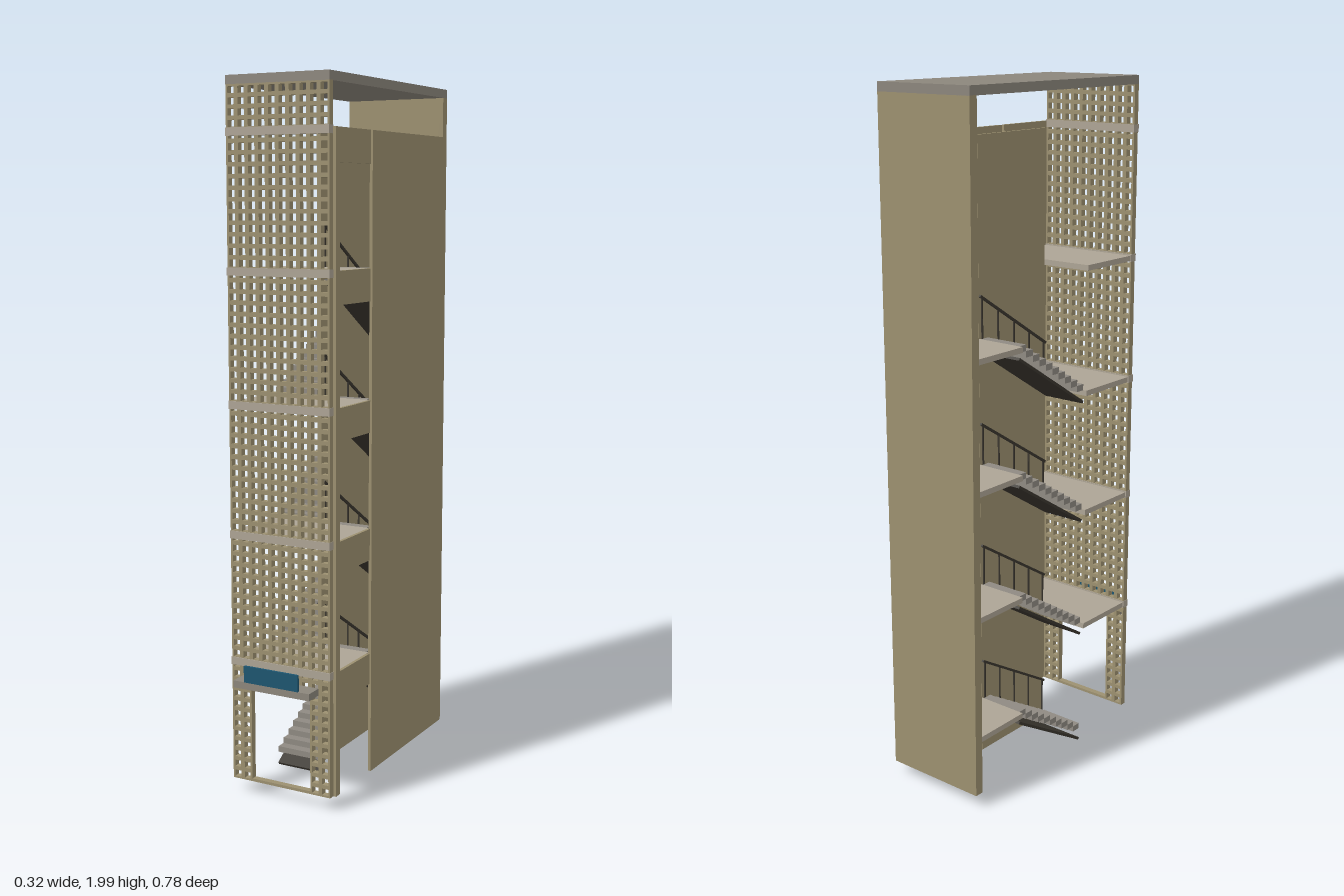
import * as THREE from 'three';

const mat = (color) => new THREE.MeshStandardMaterial({ color });

export function createModel() {
  const tower = new THREE.Group();
  tower.name = 'stairTower';
  const wall = mat(0x9c9070), concrete = mat(0x8c867c), pale = mat(0xada495);
  const step = mat(0x8f8a82), dark = mat(0x3a362f), blue = mat(0x1d5570);

  // Box given by its minimum and maximum on each axis
  const box = (name, m, x0, x1, y0, y1, z0, z1, parent = tower) => {
    const mesh = new THREE.Mesh(new THREE.BoxGeometry(x1 - x0, y1 - y0, z1 - z0), m);
    mesh.position.set((x0 + x1) / 2, (y0 + y1) / 2, (z0 + z1) / 2);
    mesh.name = name;
    parent.add(mesh);
    return mesh;
  };
  // Thin bar sloping in z and y between two points, (za, ya) and (zb, yb)
  const slopedBar = (name, m, x0, x1, za, ya, zb, yb, t, parent) => {
    const len = Math.hypot(zb - za, yb - ya);
    const bar = box(name, m, x0, x1, 0, t, 0, len, parent);
    bar.position.set((x0 + x1) / 2, (ya + yb) / 2, (za + zb) / 2);
    bar.rotation.x = -Math.atan2(yb - ya, zb - za);
    return bar;
  };

  const GROUND = 0.045, STOREY = 0.3625, TOP = 1.86;
  const floors = [1, 2, 3, 4].map((i) => 0.4 + (i - 1) * 0.3635);
  const FRONT = 0.11, BACK = -0.18; // ends of the flights in z

  // Main walls and roof
  box('backWall', wall, -0.162, 0.153, GROUND, 1.976, -0.39, -0.363);
  box('sideWall', wall, 0.153, 0.162, GROUND, TOP, -0.366, 0.11);
  box('spineWall', wall, -0.004, 0.004, GROUND, TOP, BACK, FRONT);
  box('roof', concrete, -0.162, 0.153, 1.975, 2, -0.39, 0.335);

  // Corner post and spandrel panels on the open part of the side
  box('cornerPost', wall, 0.153, 0.162, GROUND, TOP, 0.295, 0.317);
  for (const y of [...floors, TOP]) {
    box('spandrel', wall, 0.153, 0.162, y - 0.09, y, 0.12, 0.296);
    box('floorBeam', pale, -0.163, 0.154, y - 0.018, y + 0.004, 0.315, 0.338);
  }

  // Perforated front screen, one panel per storey
  const X0 = -0.162, X1 = 0.153, COLS = 10, cw = (X1 - X0) / COLS;
  const rect = (p, x0, x1, y0, y1) =>
    p.moveTo(x0, y0).lineTo(x1, y0).lineTo(x1, y1).lineTo(x0, y1).closePath();
  const screenPanel = (y0, y1, rows, hasDoor) => {
    const shape = rect(new THREE.Shape(), X0, X1, y0, y1);
    const rh = (y1 - y0) / rows;
    const doorTop = y0 + rh * (rows - 2);
    if (hasDoor) shape.holes.push(rect(new THREE.Path(), X0 + 2 * cw, X1 - 2 * cw, y0 + 0.008, doorTop));
    for (let r = 0; r < rows; r++) {
      for (let c = 0; c < COLS; c++) {
        if (hasDoor && r < rows - 2 && c > 1 && c < COLS - 2) continue;
        const x = X0 + (c + 0.5) * cw, y = y0 + (r + 0.5) * rh;
        shape.holes.push(rect(new THREE.Path(), x - cw * 0.31, x + cw * 0.31, y - rh * 0.31, y + rh * 0.31));
      }
    }
    const geo = new THREE.ExtrudeGeometry(shape, { depth: 0.018, bevelEnabled: false });
    const panel = new THREE.Mesh(geo, wall);
    panel.position.z = 0.317;
    panel.name = 'screenPanel';
    tower.add(panel);
  };
  screenPanel(GROUND, floors[0], 12, true);
  for (let i = 0; i < 4; i++) screenPanel(floors[i], floors[i + 1] ?? TOP, 12, false);
  screenPanel(TOP, 1.976, 4, false);

  // Entrance canopy with a plain fascia board
  box('canopy', concrete, -0.125, 0.117, 0.335, 0.355, 0.335, 0.388);
  box('fasciaBoard', blue, -0.09, 0.082, 0.355, 0.402, 0.382, 0.389);

  // One flight: sloping slab, treads and a handrail beside the spine wall
  const STEPS = 10, RUN = FRONT - BACK;
  const flight = (name, x0, x1, railX, yFront, yBack) => {
    const g = new THREE.Group();
    g.name = name;
    tower.add(g);
    const low = Math.min(yFront, yBack), rise = Math.abs(yBack - yFront) / STEPS;
    const up = yBack > yFront;
    slopedBar('slab', dark, x0, x1, FRONT, yFront - 0.036, BACK, yBack - 0.036, 0.008, g).rotation.x =
      Math.atan2(yBack - yFront, RUN);
    for (let i = 0; i < STEPS; i++) {
      const z = up ? FRONT - ((i + 1) * RUN) / STEPS : BACK + (i * RUN) / STEPS;
      box('tread', step, x0, x1, low + i * rise, low + (i + 1) * rise, z, z + RUN / STEPS, g);
    }
    const h = 0.12;
    slopedBar('handrail', dark, railX - 0.003, railX + 0.003, FRONT, yFront + h, BACK, yBack + h, 0.007, g).rotation.x =
      Math.atan2(yBack - yFront, RUN);
    for (let i = 0; i < 5; i++) {
      const t = 0.03 + (i / 4) * 0.94;
      const z = FRONT - t * RUN, y = yFront + t * (yBack - yFront);
      box('railPost', dark, railX - 0.002, railX + 0.002, y, y + h, z - 0.002, z + 0.002, g);
    }
  };

  // Each storey: a flight to the back, a half landing, a flight to the front, a landing
  floors.forEach((y, i) => {
    const y0 = i ? floors[i - 1] : GROUND;
    const mid = i ? (y0 + y) / 2 : y - STOREY / 2;
    flight('lowerFlight', -0.148, -0.012, -0.009, y0, mid);
    flight('upperFlight', 0.01, 0.146, 0.009, y, mid);
    box('halfLanding', pale, -0.16, 0.153, mid - 0.016, mid, -0.363, BACK);
    box('landing', pale, -0.16, 0.153, y - 0.016, y, FRONT, 0.318);
  });
  return tower;
}
